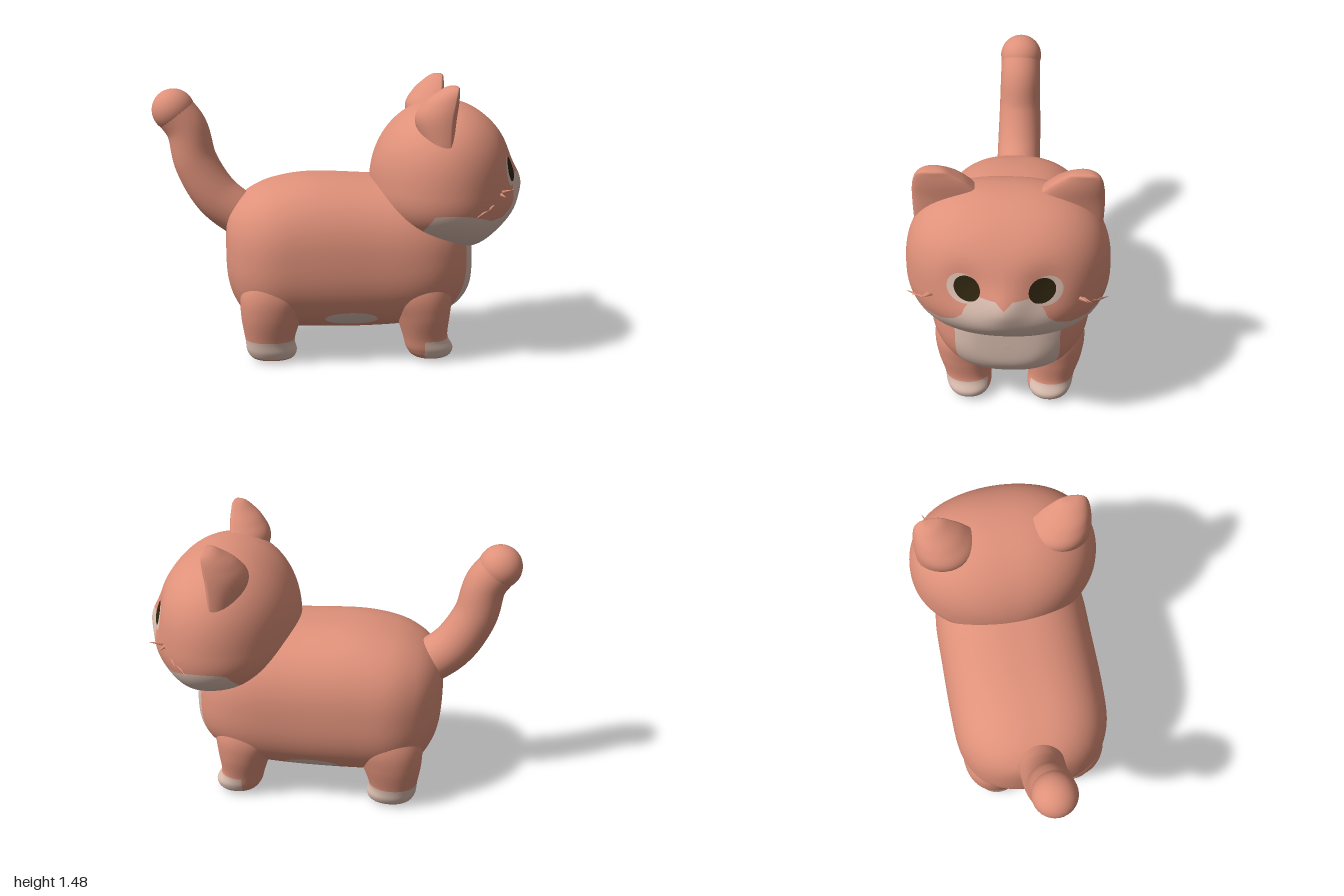
import * as THREE from 'three';

const mat = (name, color, extra = {}) => Object.assign(new THREE.MeshStandardMaterial({ color, ...extra }), { name });

// Catmull-Rom blend of every component of a list of cross-sections
function sample(sections, t) {
  const n = sections.length - 1;
  const i = Math.min(Math.floor(t * n), n - 1), u = t * n - i;
  const at = (k) => sections[Math.max(0, Math.min(n, k))];
  const [a, b, c, d] = [at(i - 1), at(i), at(i + 1), at(i + 2)];
  return b.map((_, k) => 0.5 * (2 * b[k] + (c[k] - a[k]) * u
    + (2 * a[k] - 5 * b[k] + 4 * c[k] - d[k]) * u * u
    + (3 * b[k] - a[k] - 3 * c[k] + d[k]) * u * u * u));
}

// Closed skin through sections; place(section, cos, sin) gives [x, y, z]
function loft(sections, place, steps, sides) {
  const pos = [], index = [];
  for (let i = 0; i <= steps; i++) {
    const s = sample(sections, i / steps);
    for (let j = 0; j < sides; j++) {
      const a = (j / sides) * Math.PI * 2;
      pos.push(...place(s, Math.cos(a), Math.sin(a)));
    }
  }
  for (let i = 0; i < steps; i++) {
    for (let j = 0; j < sides; j++) {
      const k = (j + 1) % sides, r = i * sides, q = r + sides;
      index.push(r + j, q + j, r + k, r + k, q + j, q + k);
    }
  }
  // turn the faces outward, whichever way the sections run
  const p = (i) => new THREE.Vector3().fromArray(pos, i * 3);
  let volume = 0;
  for (let i = 0; i < index.length; i += 3) {
    volume += p(index[i]).dot(p(index[i + 1]).cross(p(index[i + 2])));
  }
  if (volume < 0) index.reverse();
  const geo = new THREE.BufferGeometry();
  geo.setAttribute('position', new THREE.Float32BufferAttribute(pos, 3));
  geo.setIndex(index);
  geo.computeVertexNormals();
  return geo;
}

// Cuts the skin along the edge of a marking: group 0 plain fur, group 1 pale
function paint(geo, isPale) {
  const pos = [...geo.attributes.position.array], nor = [...geo.attributes.normal.array];
  const idx = geo.index.array, groups = [[], []];
  const inside = (i) => (isPale(pos[3 * i], pos[3 * i + 1], pos[3 * i + 2]) ? 1 : 0);
  // new vertex where the edge a-b crosses the marking's outline
  const cut = (a, b) => {
    const mix = (arr, t) => [0, 1, 2].map((k) => arr[3 * a + k] * (1 - t) + arr[3 * b + k] * t);
    const start = inside(a);
    let lo = 0, hi = 1;
    for (let n = 0; n < 10; n++) {
      const t = (lo + hi) / 2;
      if ((isPale(...mix(pos, t)) ? 1 : 0) === start) lo = t; else hi = t;
    }
    const point = mix(pos, lo), normal = mix(nor, lo);
    pos.push(...point);
    nor.push(...normal);
    return pos.length / 3 - 1;
  };
  for (let i = 0; i < idx.length; i += 3) {
    const f = [idx[i], idx[i + 1], idx[i + 2]], side = f.map(inside);
    const sum = side[0] + side[1] + side[2];
    if (sum % 3 === 0) { groups[side[0]].push(...f); continue; }
    const odd = side.indexOf(sum === 1 ? 1 : 0);
    const [a, b, c] = [0, 1, 2].map((k) => f[(odd + k) % 3]);
    const ab = cut(a, b), ac = cut(a, c);
    groups[side[odd]].push(a, ab, ac);
    groups[1 - side[odd]].push(ab, b, c, ab, c, ac);
  }
  geo.setAttribute('position', new THREE.Float32BufferAttribute(pos, 3));
  geo.setAttribute('normal', new THREE.Float32BufferAttribute(nor, 3));
  geo.setIndex(groups.flat());
  geo.addGroup(0, groups[0].length, 0);
  geo.addGroup(groups[0].length, groups[1].length, 1);
  return geo;
}

// Unit circle point moved out to a superellipse of power p
function squircle(c, s, p) {
  const f = 1 / Math.pow(Math.abs(c) ** p + Math.abs(s) ** p, 1 / p);
  return [c * f, s * f];
}

// Piecewise-linear lookup
function lookup(table, v) {
  const i = Math.max(1, table.findIndex(([x]) => v <= x));
  const [x0, y0] = table[i - 1], [x1, y1] = table[i];
  return y0 + (y1 - y0) * (v - x0) / (x1 - x0);
}

const bump = (u, v) => Math.exp(-u * u - v * v);

export function createModel() {
  const fur = mat('orange fur', 0xdf917a);
  const cream = mat('cream fur', 0xdcbfb1);
  const dark = mat('dark eye', 0x2e2410, { side: THREE.DoubleSide });
  const cat = new THREE.Group();
  cat.name = 'cat';
  const add = (name, geo, material) => {
    const mesh = new THREE.Mesh(geo, material);
    mesh.name = name;
    cat.add(mesh);
    return mesh;
  };

  // Body: sections along x as [x, bottom, top, half width]
  const body = loft([
    [-0.61, 0.6, 0.6, 0], [-0.6, 0.42, 0.74, 0.15], [-0.56, 0.3, 0.82, 0.26], [-0.48, 0.2, 0.89, 0.35],
    [-0.35, 0.16, 0.945, 0.41], [-0.15, 0.15, 0.975, 0.425], [0.15, 0.15, 0.965, 0.425],
    [0.4, 0.17, 0.95, 0.42], [0.55, 0.22, 0.9, 0.38], [0.65, 0.28, 0.82, 0.3],
    [0.71, 0.37, 0.7, 0.18], [0.72, 0.5, 0.5, 0],
  ], ([x, y0, y1, w], c, s) => {
    const [a, b] = squircle(c, s, 2.5);
    return [x, (y0 + y1) / 2 + b * (y1 - y0) / 2, a * w];
  }, 110, 110);
  add('body', paint(body, (x, y, z) => {
    const bib = x > 0.5 && (z / 0.27) ** 4 + ((y - 0.55) / 0.31) ** 4 < 1;
    const belly = Math.abs(z) > 0.15 && ((x - 0.06) / 0.14) ** 2 + ((y - 0.245) / 0.042) ** 2 < 1;
    return bib || belly;
  }), [fur, cream]);

  // Legs: sections going down as [y, back x, front x, inner z, outer z]
  const legs = {
    hindLeg: [
      [0.6, -0.4, -0.26, 0.15, 0.29], [0.48, -0.48, -0.18, 0.1, 0.365], [0.37, -0.525, -0.16, 0.08, 0.396],
      [0.25, -0.525, -0.2, 0.09, 0.385], [0.12, -0.505, -0.24, 0.1, 0.35], [0.05, -0.495, -0.23, 0.1, 0.335],
      [0.01, -0.46, -0.26, 0.13, 0.3], [0, -0.37, -0.37, 0.21, 0.21],
    ],
    frontLeg: [
      [0.6, 0.36, 0.5, 0.15, 0.29], [0.48, 0.28, 0.57, 0.1, 0.365], [0.37, 0.25, 0.6, 0.08, 0.398],
      [0.25, 0.3, 0.59, 0.09, 0.385], [0.13, 0.34, 0.58, 0.1, 0.35], [0.06, 0.36, 0.61, 0.1, 0.335],
      [0.015, 0.4, 0.58, 0.13, 0.3], [0, 0.48, 0.48, 0.2, 0.2],
    ],
  };
  // Ears: sections going up as [y, back x, front x, inner z, outer z]
  const ear = [
    [1.0, 0.45, 0.57, 0.22, 0.44], [1.15, 0.43, 0.58, 0.17, 0.462], [1.3, 0.385, 0.595, 0.13, 0.468],
    [1.39, 0.43, 0.605, 0.19, 0.462], [1.45, 0.5, 0.605, 0.265, 0.445], [1.475, 0.54, 0.6, 0.31, 0.41],
    [1.48, 0.57, 0.57, 0.36, 0.36],
  ];
  for (const side of [1, -1]) {
    const label = side > 0 ? 'Left' : 'Right';
    for (const [name, sections] of Object.entries(legs)) {
      const geo = loft(sections, ([y, x0, x1, z0, z1], c, s) => {
        const [a, b] = squircle(c, s, 2.15);
        return [(x0 + x1) / 2 + a * (x1 - x0) / 2, y, side * ((z0 + z1) / 2 + b * (z1 - z0) / 2)];
      }, 60, 48);
      // pale toes; the soles and inner sides stay orange
      const [toeX, innerZ] = name === 'frontLeg' ? [0.45, 0.115] : [-1, 0.19];
      add(name + label, paint(geo, (x, y, z) => y > 0.022 && y < 0.12 && x > toeX && Math.abs(z) > innerZ),
        [fur, cream]);
    }
    // flatter on the front face than on the back
    add('ear' + label, loft(ear, ([y, x0, x1, z0, z1], c, s) => {
      const w = x1 - x0;
      const x = x1 - w * 0.2 + c * w * (c > 0 ? 0.2 : 0.8);
      return [x, y, side * ((z0 + z1) / 2 + s * (z1 - z0) / 2)];
    }, 40, 36), fur);
  }

  // Head: squarish seen from the face, with a bulging muzzle, low chin and shallow eye sockets
  const headGeo = loft([[0], [Math.PI]], ([t], c, s) => {
    const [cz, by] = squircle(c, s, s > 0 ? 2.6 : 2.45), r = Math.sin(t), a = Math.cos(t);
    let y = 0.93 + by * r * (by > 0 ? 0.44 : 0.32);
    const z = 0.51 * cz * r;
    let x = 0.57 + a * (a > 0 ? 0.38 : 0.4);
    if (a > 0) {
      x += 0.035 * bump(z / 0.11, (y - 0.94) / 0.09);
      x += 0.04 * a * bump(z / 0.3, (y - 0.78) / 0.12);
      x -= 0.03 * a * bump((Math.abs(z) - 0.19) / 0.11, (y - 1.04) / 0.11);
    }
    y += 0.04 * Math.min(0, by * r) * bump((a - 0.45) / 0.35, 0);
    return [x, y, z];
  }, 130, 140);
  // upper edge of the pale mask by distance from the middle
  const mask = [[0, 0.95], [0.04, 0.99], [0.14, 0.99], [0.19, 0.92], [0.21, 0.87], [0.25, 0.83],
    [0.32, 0.79], [0.4, 0.785], [0.46, 0.81], [0.6, 0.88]];
  const head = add('head', paint(headGeo, (x, y, z) => {
    const w = Math.abs(z);
    const eyePatch = x > 0.6 && w > 0.15 && Math.hypot(w - 0.203, y - 1.013) < 0.077;
    return eyePatch || (x > 0.43 + 0.6 * Math.max(0, y - 0.74) && y < lookup(mask, w));
  }), [fur, cream]);

  // Eyes: thin discs draped over the face
  const ray = new THREE.Raycaster();
  const back = new THREE.Vector3(-1, 0, 0);
  for (const side of [1, -1]) {
    const label = side > 0 ? 'Left' : 'Right';
    const eye = new THREE.RingGeometry(0.0005, 0.065, 24, 3).rotateY(Math.PI / 2);
    eye.translate(0, 1.02, side * 0.18);
    const p = eye.attributes.position;
    for (let i = 0; i < p.count; i++) {
      ray.set(new THREE.Vector3(2, p.getY(i), p.getZ(i)), back);
      p.setX(i, ray.intersectObject(head)[0].point.x + 0.006);
    }
    eye.computeVertexNormals();
    add('eye' + label, eye, dark);

    // Whiskers: short spikes from base to tip
    const spikes = [
      [[0.79, 0.86, 0.39], [0.68, 0.82, 0.51]], [[0.8, 0.88, 0.38], [0.75, 0.85, 0.47]],
      [[0.82, 0.92, 0.35], [0.9, 0.95, 0.4]], [[0.82, 0.92, 0.36], [0.85, 0.91, 0.42]],
    ];
    for (const [from, to] of spikes) {
      const a = new THREE.Vector3(from[0], from[1], from[2] * side);
      const b = new THREE.Vector3(to[0], to[1], to[2] * side);
      const dir = b.clone().sub(a);
      const spike = add('whisker' + label, new THREE.ConeGeometry(0.014, dir.length(), 6), fur);
      spike.position.copy(a).add(b).multiplyScalar(0.5);
      spike.quaternion.setFromUnitVectors(new THREE.Vector3(0, 1, 0), dir.normalize());
    }
  }

  // Tail: a curved skin along a path of [x, y, radius], rooted inside the body
  const tail = [[-0.4, 0.66, 0.1], [-0.53, 0.75, 0.12], [-0.66, 0.86, 0.122], [-0.765, 1.04, 0.117],
    [-0.81, 1.22, 0.112], [-0.88, 1.32, 0.11]];
  const path = new THREE.CatmullRomCurve3(tail.map(([x, y]) => new THREE.Vector3(x, y, 0)));
  add('tail', loft(tail.map(([, , r], i) => [i / (tail.length - 1), r]), ([t, r], c, s) => {
    const o = path.getPoint(t), d = path.getTangent(t);
    return [o.x - d.y * c * r, o.y + d.x * c * r, s * r];
  }, 44, 32), fur);
  add('tailTip', new THREE.SphereGeometry(0.115, 32, 24).translate(-0.88, 1.32, 0), fur);

  return cat;
}
